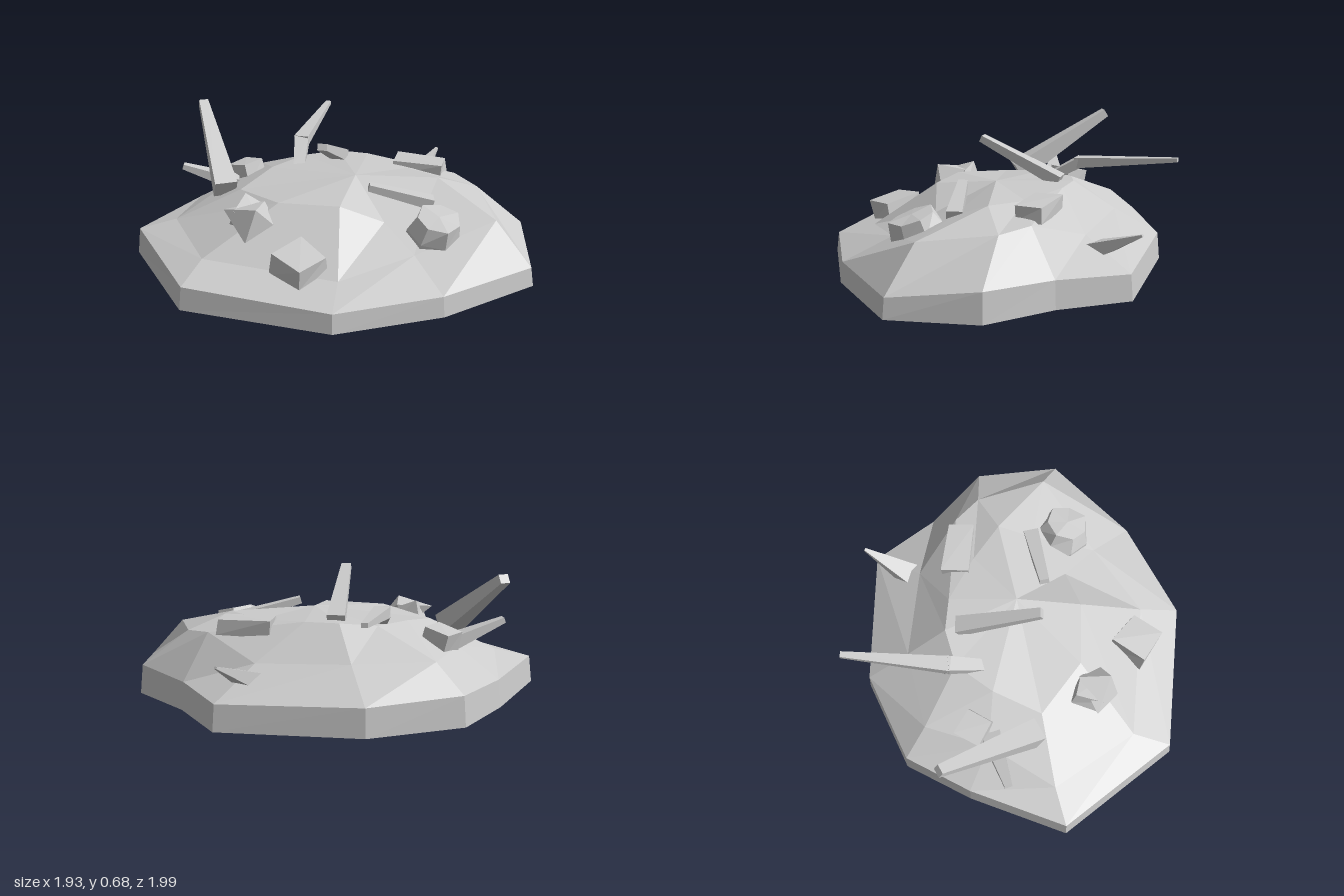
import * as THREE from 'three';

const material = new THREE.MeshStandardMaterial({ color: 0xcccccc, flatShading: true, side: THREE.DoubleSide });
const V = (p) => new THREE.Vector3(...p);

function addMesh(parent, geometry, name) {
  const mesh = new THREE.Mesh(geometry, material);
  mesh.name = name;
  parent.add(mesh);
  return mesh;
}

// Faceted mound: rings of [x, y, z] stitched from the ground up, closed by a peak and a floor
function moundGeometry(rings, peak) {
  const n = rings[0].length, pos = [];
  const tri = (a, b, c) => pos.push(...a, ...b, ...c);
  for (let i = 0; i < n; i++) {
    const j = (i + 1) % n;
    for (let r = 0; r + 1 < rings.length; r++) {
      const lo = rings[r], up = rings[r + 1];
      tri(lo[i], up[i], lo[j]);
      tri(lo[j], up[i], up[j]);
    }
    tri(peak, rings[rings.length - 1][j], rings[rings.length - 1][i]);
    tri([0, 0, 0], rings[0][i], rings[0][j]);
  }
  const g = new THREE.BufferGeometry();
  g.setAttribute('position', new THREE.Float32BufferAttribute(pos, 3));
  g.computeVertexNormals();
  return g;
}

// Tapered four-sided splinter from a to b: widths at both ends, depth as a share of width
function addBeam(parent, name, a, b, wa, wb, depth = 0.7) {
  const from = V(a), to = V(b), dir = to.clone().sub(from);
  const g = new THREE.CylinderGeometry(wb / Math.SQRT2, wa / Math.SQRT2, dir.length(), 4);
  g.rotateY(Math.PI / 4);
  const mesh = addMesh(parent, g, name);
  const y = dir.normalize();
  const x = new THREE.Vector3().crossVectors(y, new THREE.Vector3(0, 1, 0)).normalize();
  const z = new THREE.Vector3().crossVectors(x, y);
  mesh.quaternion.setFromRotationMatrix(new THREE.Matrix4().makeBasis(x, y, z));
  mesh.position.copy(from).add(to).multiplyScalar(0.5);
  mesh.scale.z = depth;
}

// Chipped stone: corners pushed by a rule depending only on their place, so seams stay closed
function addStone(parent, name, geometry, at, size, rot, chip) {
  const p = geometry.attributes.position, v = new THREE.Vector3();
  for (let i = 0; i < p.count; i++) {
    v.fromBufferAttribute(p, i);
    const k = 1 + chip * Math.sin(7.1 * v.x + 4.3 * v.y + 9.7 * v.z);
    p.setXYZ(i, v.x * k, v.y * k, v.z * k);
  }
  geometry.computeVertexNormals();
  const mesh = addMesh(parent, geometry, name);
  mesh.position.set(...at);
  mesh.scale.set(...size);
  mesh.rotation.set(...rot);
}

export function createModel() {
  const group = new THREE.Group();
  group.name = 'rubblePile';

  // Mound
  const rim = [
    [-0.65, 0.14, -0.89], [-0.12, 0.14, -0.94], [0.26, 0.15, -0.93], [0.65, 0.14, -0.62],
    [0.945, 0.13, 0.02], [0.76, 0.14, 0.36], [0.65, 0.15, 0.73], [0.28, 0.10, 0.99],
    [-0.26, 0.105, 0.80], [-0.71, 0.10, 0.47], [-0.97, 0.12, -0.26],
  ];
  const middle = [
    [-0.51, 0.19, -0.73], [-0.12, 0.28, -0.70], [0.22, 0.28, -0.75], [0.48, 0.28, -0.44],
    [0.64, 0.26, 0.00], [0.58, 0.36, 0.33], [0.53, 0.34, 0.50], [0.26, 0.31, 0.77],
    [-0.15, 0.21, 0.55], [-0.52, 0.16, 0.36], [-0.76, 0.18, -0.30],
  ];
  const inner = [
    [-0.30, 0.36, -0.45], [-0.03, 0.40, -0.46], [0.20, 0.41, -0.42], [0.33, 0.43, -0.28],
    [0.39, 0.43, -0.12], [0.38, 0.41, 0.15], [0.34, 0.42, 0.37], [0.16, 0.35, 0.42],
    [-0.08, 0.30, 0.32], [-0.24, 0.40, 0.16], [-0.37, 0.39, -0.13],
  ];
  const ground = rim.map(([x, , z]) => [x, 0, z]);
  const lip = rim.map(([x, y, z]) => [x * 0.985, y, z * 0.985]);
  addMesh(group, moundGeometry([ground, lip, middle, inner], [0.07, 0.44, 0.03]), 'mound');

  // Stones
  const box = () => new THREE.BoxGeometry(1, 1, 1);
  const round = () => new THREE.CylinderGeometry(0.36, 0.5, 1, 7, 2);
  addStone(group, 'frontBoulder', round(), [0.04, 0.27, 0.55], [0.32, 0.18, 0.32], [0.25, 0.3, 0.15], 0.08);
  addStone(group, 'rightBlock', box(), [-0.57, 0.21, 0.17], [0.19, 0.12, 0.20], [0.15, -0.15, 0.12], 0.12);
  addStone(group, 'rightShard', new THREE.OctahedronGeometry(0.5), [-0.49, 0.32, -0.18], [0.26, 0.20, 0.30], [0.3, 0.4, 0.5], 0.15);
  addStone(group, 'rightChip', box(), [-0.46, 0.33, -0.22], [0.14, 0.08, 0.16], [0.3, 0.3, 0.2], 0.15);
  addStone(group, 'backBlock', box(), [-0.02, 0.32, -0.65], [0.14, 0.13, 0.14], [-0.25, -0.08, 0], 0.06);
  addStone(group, 'leftSlab', box(), [0.48, 0.395, 0.17], [0.14, 0.08, 0.27], [0, 0.35, 0], 0.1);

  // Splintered beams
  addBeam(group, 'backBeam', [-0.31, 0.34, -0.55], [-0.01, 0.665, -0.98], 0.12, 0.05, 0.9);
  addBeam(group, 'backSplinter', [-0.11, 0.29, -0.65], [-0.31, 0.40, -0.86], 0.10, 0.04);
  addBeam(group, 'topBeam', [0.28, 0.43, -0.23], [-0.11, 0.63, -0.05], 0.09, 0.05);
  addBeam(group, 'bentBeamRoot', [0.08, 0.39, -0.36], [0.23, 0.49, -0.46], 0.06, 0.08);
  addBeam(group, 'bentBeamTip', [0.21, 0.485, -0.45], [0.72, 0.54, -0.65], 0.08, 0.03);
  addBeam(group, 'leftSpike', [0.69, 0.19, -0.01], [0.96, 0.315, -0.02], 0.12, 0.015);
  addBeam(group, 'frontSplinter', [0.18, 0.35, 0.44], [-0.02, 0.44, 0.18], 0.08, 0.05);
  return group;
}
